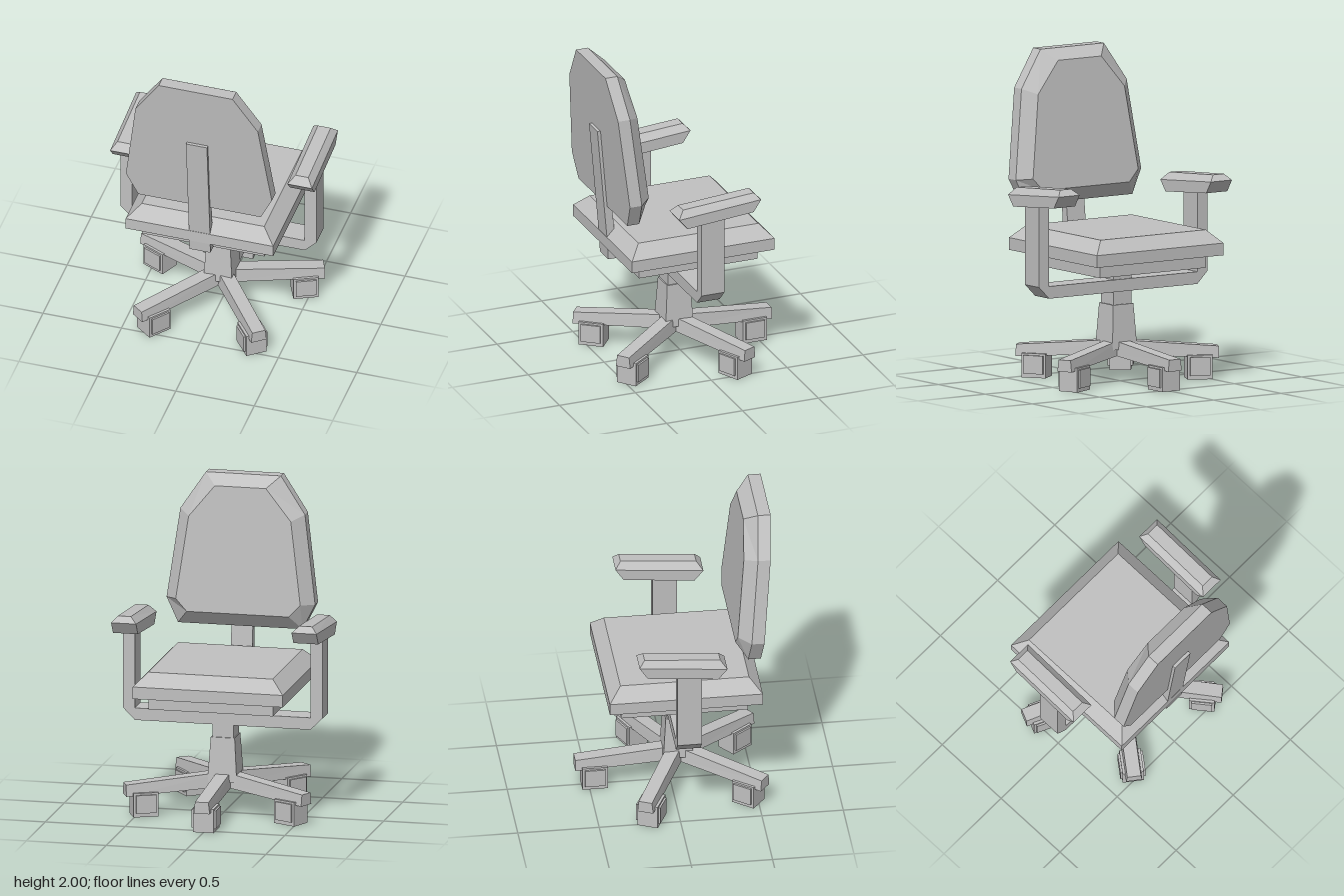
import * as THREE from 'three';

const grey = new THREE.MeshStandardMaterial({ color: 0xc0c0c0 });
grey.name = 'grey';

// Closed flat-faced solid through convex rings of [x, y, z] points
function loft(name, rings) {
  const n = rings[0].length, tris = [];
  for (let r = 0; r + 1 < rings.length; r++) {
    for (let i = 0; i < n; i++) {
      const j = (i + 1) % n, a = rings[r], b = rings[r + 1];
      tris.push([a[i], a[j], b[j]], [a[i], b[j], b[i]]);
    }
  }
  const first = rings[0], last = rings[rings.length - 1];
  for (let i = 1; i + 1 < n; i++) {
    tris.push([first[0], first[i + 1], first[i]], [last[0], last[i], last[i + 1]]);
  }
  // Turn the faces outward if the rings run the other way
  const v = (p) => new THREE.Vector3(...p);
  const volume = tris.reduce((s, [a, b, c]) => s + v(a).dot(v(b).cross(v(c))), 0);
  if (volume < 0) tris.forEach((t) => t.reverse());
  const geo = new THREE.BufferGeometry();
  geo.setAttribute('position', new THREE.Float32BufferAttribute(tris.flat(2), 3));
  geo.computeVertexNormals();
  const mesh = new THREE.Mesh(geo, grey);
  mesh.name = name;
  return mesh;
}

// Axis-aligned box given by its limits
function box(name, x0, x1, y0, y1, z0, z1) {
  const mesh = new THREE.Mesh(new THREE.BoxGeometry(x1 - x0, y1 - y0, z1 - z0), grey);
  mesh.position.set((x0 + x1) / 2, (y0 + y1) / 2, (z0 + z1) / 2);
  mesh.name = name;
  return mesh;
}

// Horizontal rectangle; its height may differ between the two z ends
const rect = (x0, x1, z0, y0, z1, y1) => [[x0, y0, z0], [x1, y0, z0], [x1, y1, z1], [x0, y1, z1]];

export function createModel() {
  const chair = new THREE.Group();
  chair.name = 'officeChair';
  const pivotZ = 0.04;

  // Seat cushion with bevelled top, and the plate below it
  chair.add(loft('seatCushion', [
    rect(-0.47, 0.47, -0.43, 0.785, 0.51, 0.785),
    rect(-0.47, 0.47, -0.43, 0.86, 0.51, 0.86),
    rect(-0.39, 0.39, -0.355, 0.94, 0.435, 0.94),
  ]));
  chair.add(box('seatPlate', -0.39, 0.39, 0.705, 0.785, -0.35, 0.43));

  // Leaning backrest: rear outline, middle outline, smaller padded face
  const outline = (half, z) => [...half, ...half.slice().reverse().map(([x, y]) => [-x, y])]
    .map(([x, y]) => [x, y, z(y)]);
  const outer = [[0.235, 2], [0.39, 1.77], [0.465, 1.22], [0.39, 1.067]];
  const inner = [[0.16, 1.935], [0.32, 1.74], [0.39, 1.23], [0.32, 1.155]];
  chair.add(loft('backrest', [
    outline(outer, (y) => 0.508 + (y - 1.067) * 0.086),
    outline(outer, (y) => 0.43 + (y - 1.067) * 0.086),
    outline(inner, (y) => 0.36 + (y - 1.155) * 0.09),
  ]));

  // Flat bar carrying the backrest
  chair.add(loft('backSupport', [
    rect(-0.067, 0.067, 0.44, 0.712, 0.5, 0.712),
    rect(-0.067, 0.067, 0.455, 0.86, 0.509, 0.86),
    rect(-0.067, 0.067, 0.535, 1.575, 0.572, 1.575),
  ]));

  // U-shaped arm frame with chamfered lower corners
  const half = [[0.55, 0.555], [0.625, 0.63], [0.625, 1.16], [0.55, 1.16], [0.55, 0.63]];
  const mirrored = half.slice().reverse().map(([x, y]) => [-x, y]);
  const frameShape = new THREE.Shape([...half, ...mirrored].map(([x, y]) => new THREE.Vector2(x, y)));
  const frame = new THREE.Mesh(
    new THREE.ExtrudeGeometry(frameShape, { depth: 0.15, bevelEnabled: false }), grey);
  frame.position.z = -0.035;
  frame.name = 'armFrame';
  chair.add(frame);

  // Sloping arm pads
  for (const [side, s] of [['left', 1], ['right', -1]]) {
    chair.add(loft(side + 'ArmPad', [
      rect(s * 0.487, s * 0.643, -0.22, 1.14, 0.215, 1.1),
      rect(s * 0.487, s * 0.643, -0.27, 1.215, 0.27, 1.167),
      rect(s * 0.527, s * 0.608, -0.235, 1.252, 0.23, 1.215),
    ]));
  }

  // Column and tapered sleeve
  const square = (h, y) => rect(-h, h, pivotZ - h, y, pivotZ + h, y);
  chair.add(box('column', -0.067, 0.067, 0.4, 0.72, pivotZ - 0.067, pivotZ + 0.067));
  chair.add(loft('columnSleeve', [square(0.092, 0.2), square(0.075, 0.475)]));

  // Five splayed legs, each with a caster
  const section = (z, y0, y1) => [[-0.05, y0, z], [0.05, y0, z], [0.042, y1, z], [-0.042, y1, z]];
  for (const degrees of [0, 65, 142, -142, -65]) {
    const leg = new THREE.Group();
    leg.name = 'legWithCaster';
    leg.add(loft('leg', [section(0, 0.165, 0.255), section(-0.627, 0.128, 0.2)]));
    leg.add(box('caster', -0.065, 0.065, 0, 0.15, -0.585, -0.43));
    leg.add(box('casterSides', -0.077, 0.077, 0.025, 0.138, -0.57, -0.445));
    leg.position.z = pivotZ;
    leg.rotation.y = THREE.MathUtils.degToRad(degrees);
    chair.add(leg);
  }
  return chair;
}
